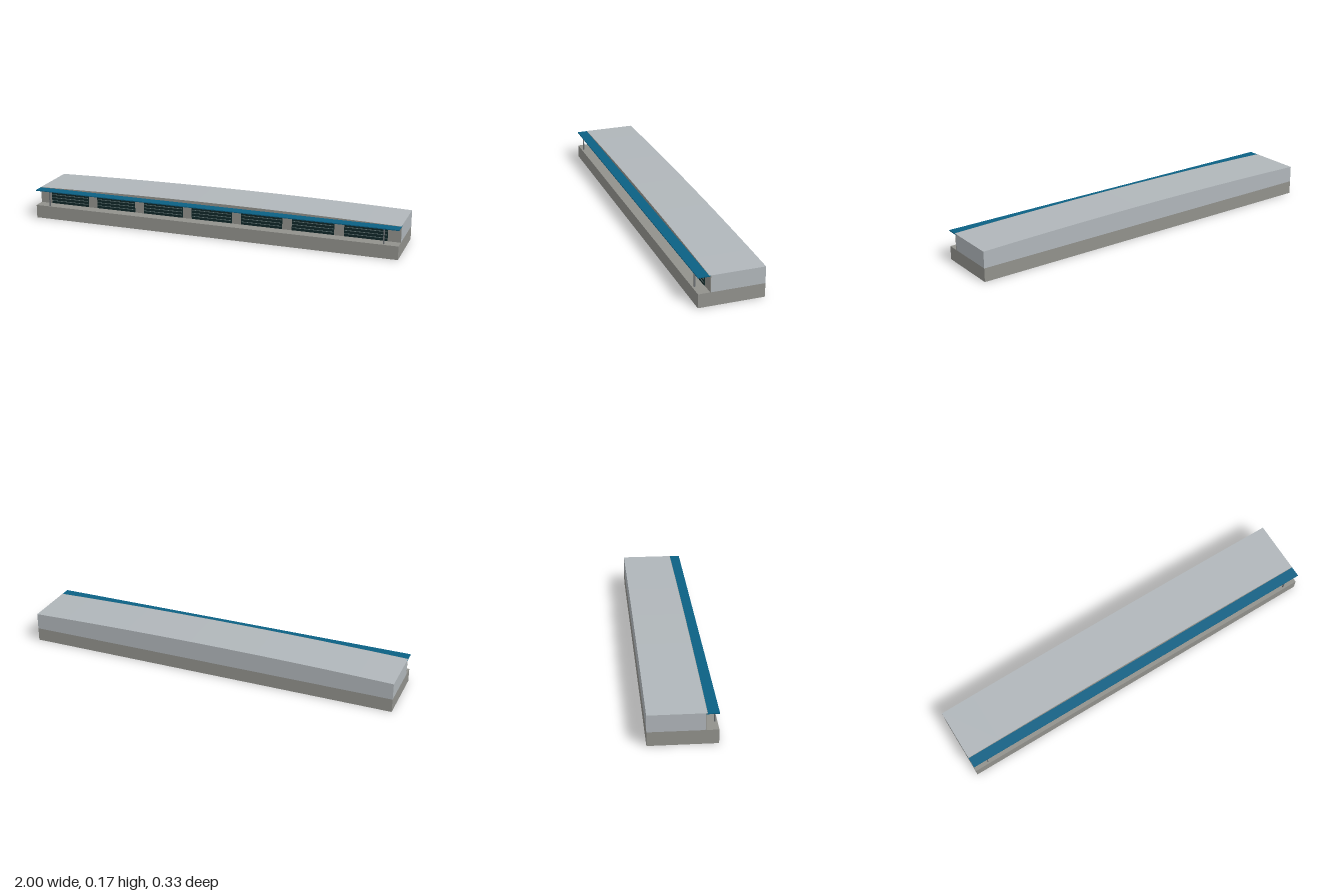
import * as THREE from 'three';

const mat = (name, color) => {
  const m = new THREE.MeshStandardMaterial({ color });
  m.name = name;
  return m;
};

export function createModel() {
  const group = new THREE.Group();
  const concrete = mat('concrete', 0x91918c);
  const cladding = mat('pale cladding', 0xb0b6ba);
  const canopyBlue = mat('canopy blue', 0x0b6084);
  const glass = mat('dark glass', 0x0f2728);
  const slat = mat('slat grey', 0x5a6b6b);
  const steel = mat('post steel', 0x6c7073);

  // Box given by its min and max corners
  const box = (name, material, x0, x1, y0, y1, z0, z1) => {
    const mesh = new THREE.Mesh(new THREE.BoxGeometry(x1 - x0, y1 - y0, z1 - z0), material);
    mesh.position.set((x0 + x1) / 2, (y0 + y1) / 2, (z0 + z1) / 2);
    mesh.name = name;
    group.add(mesh);
  };

  // Platform and hall
  box('platform', concrete, -1, 1, 0, 0.071, -0.167, 0.167);
  box('hall', cladding, -1, 1, 0.071, 0.157, -0.167, 0.104);
  box('frontWall', concrete, -1, 1, 0.071, 0.157, 0.104, 0.107);

  // Shallow faceted arch roof with a front fascia
  const arch = new THREE.Shape();
  arch.moveTo(-1, 0.157);
  arch.lineTo(1, 0.157);
  const n = 11;
  for (let i = 0; i <= n; i++) {
    const x = 1 - (2 * i) / n;
    arch.lineTo(x, 0.1575 + 0.0145 * (1 - x * x));
  }
  const roofSlab = (name, material, z0, z1) => {
    const geo = new THREE.ExtrudeGeometry(arch, { depth: z1 - z0, bevelEnabled: false });
    const mesh = new THREE.Mesh(geo, material);
    mesh.position.z = z0;
    mesh.name = name;
    group.add(mesh);
  };
  roofSlab('roof', cladding, -0.167, 0.111);
  roofSlab('roofFascia', concrete, 0.111, 0.113);

  // Canopy over the platform edge and its posts
  box('canopy', canopyBlue, -1, 1, 0.152, 0.1565, 0.094, 0.168);
  for (const x of [-0.923, 0.923]) {
    box('canopyPost', steel, x - 0.003, x + 0.003, 0.071, 0.152, 0.152, 0.158);
  }

  // Seven glazed bays with horizontal slats
  for (let i = -3; i <= 3; i++) {
    const x = i * 0.274;
    box('window', glass, x - 0.111, x + 0.111, 0.073, 0.139, 0.106, 0.111);
    for (const y of [0.088, 0.105, 0.122]) {
      box('windowSlat', slat, x - 0.108, x + 0.108, y - 0.0012, y + 0.0012, 0.111, 0.114);
    }
  }
  return group;
}
